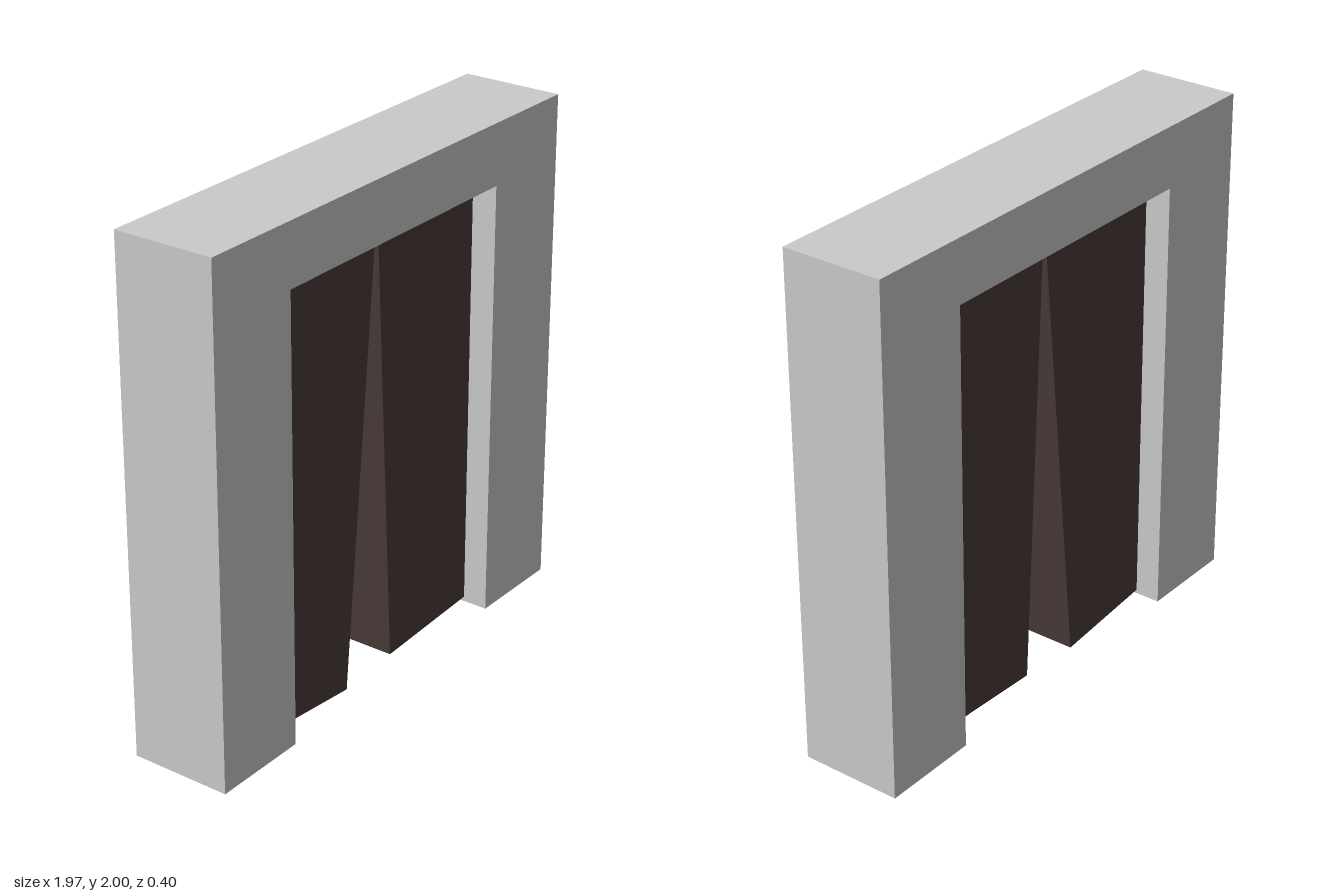
import * as THREE from 'three';

export function createModel() {
  const model = new THREE.Group();
  model.name = 'doorway';

  const stone = new THREE.MeshStandardMaterial({ color: 0xcacaca });
  stone.name = 'pale grey stone';
  const wood = new THREE.MeshStandardMaterial({ color: 0x4a3b39 });
  wood.name = 'dark brown wood';

  // Frame: one solid arch with a square opening down to the ground
  const outer = 0.987, inner = 0.595, base = 0.026, lintel = 1.762, depth = 0.4;
  const outline = new THREE.Shape([
    [-outer, base], [-inner, base], [-inner, lintel], [inner, lintel],
    [inner, base], [outer, base], [outer, 2], [-outer, 2],
  ].map(([x, y]) => new THREE.Vector2(x, y)));
  const frameGeometry = new THREE.ExtrudeGeometry(outline, { depth, bevelEnabled: false });
  frameGeometry.translate(0, 0, -depth / 2);
  const frame = new THREE.Mesh(frameGeometry, stone);
  frame.name = 'frame';
  model.add(frame);

  // Doors: sagging slabs, pivoted on their lower inner corner, outer edges sunk in the frame
  const width = 0.6, height = 1.74, thickness = 0.2;
  function addDoor(name, side, x, y, tilt) {
    const geometry = new THREE.BoxGeometry(width, height, thickness);
    geometry.translate(side * width / 2, height / 2, 0);
    const door = new THREE.Mesh(geometry, wood);
    door.name = name;
    door.position.set(x, y, 0);
    door.rotation.z = side * tilt;
    model.add(door);
  }
  addDoor('rightDoor', -1, -0.163, 0, 0.095);
  addDoor('leftDoor', 1, 0.107, 0.02, 0.051);

  return model;
}
